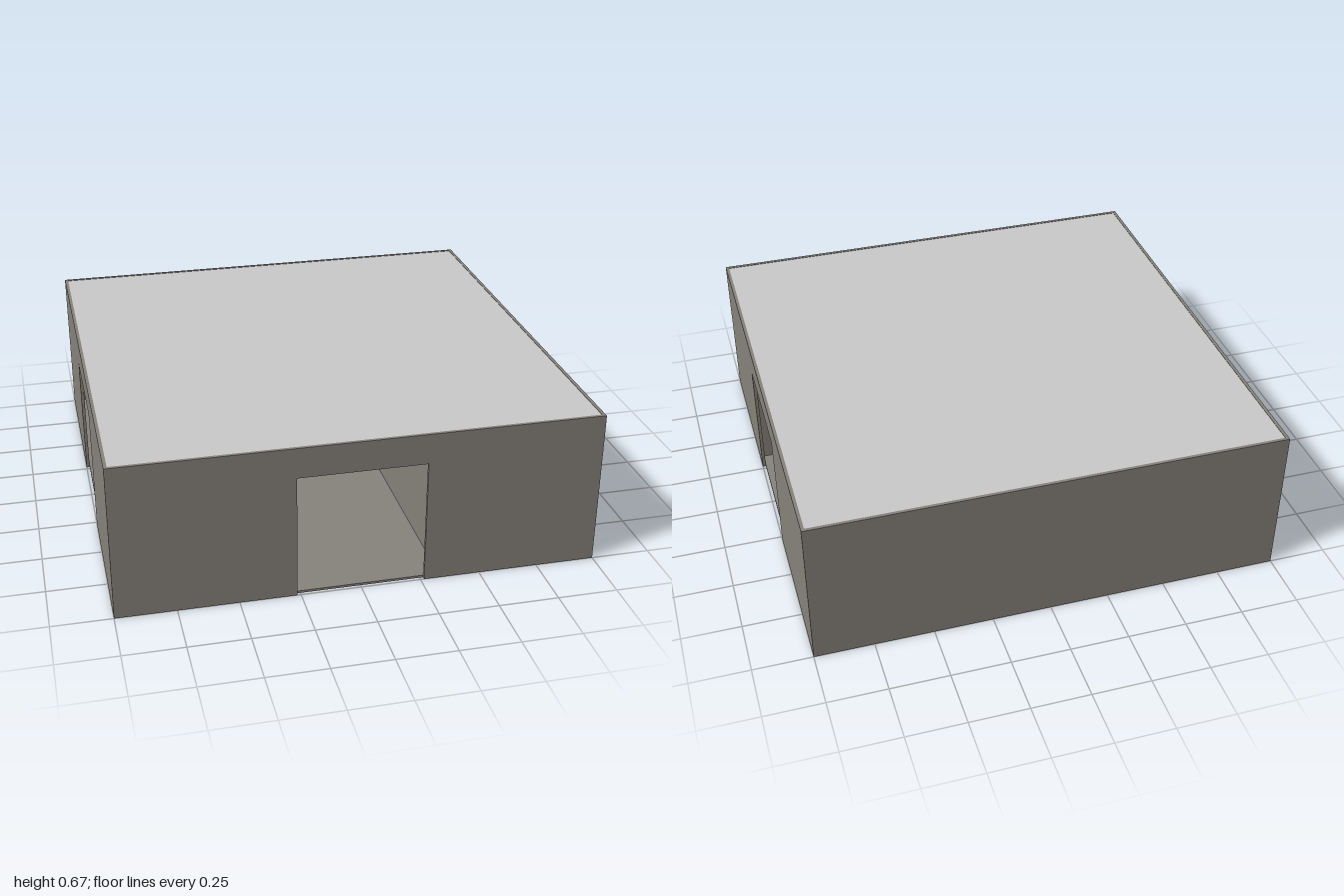
import * as THREE from 'three';

const H = 0.665, T = 0.014;        // wall height and thickness
const DOOR_W = 0.53, DOOR_H = 0.535;
const PART = 0.33;                 // distance of inner partitions from the centre

export function createModel() {
  const group = new THREE.Group();
  const stone = new THREE.MeshStandardMaterial({ color: 0x87837c });
  stone.name = 'warm grey walls';
  const roofGrey = new THREE.MeshStandardMaterial({ color: 0xcacaca });
  roofGrey.name = 'light grey roof';

  function box(name, mat, w, h, d, x, y, z) {
    const mesh = new THREE.Mesh(new THREE.BoxGeometry(w, h, d), mat);
    mesh.name = name;
    mesh.position.set(x, y, z);
    group.add(mesh);
  }

  // Wall with a doorway notched into its bottom edge, turned to face outwards
  function doorWall(name, width, angle) {
    const w = width / 2, d = DOOR_W / 2;
    const shape = new THREE.Shape([
      [-w, 0], [-d, 0], [-d, DOOR_H], [d, DOOR_H], [d, 0], [w, 0], [w, H], [-w, H],
    ].map(([x, y]) => new THREE.Vector2(x, y)));
    const geo = new THREE.ExtrudeGeometry(shape, { depth: T, bevelEnabled: false });
    geo.translate(0, 0, 1 - T).rotateY(angle);
    const mesh = new THREE.Mesh(geo, stone);
    mesh.name = name;
    group.add(mesh);
  }

  // Outer shell: three walls with doorways and a solid back
  doorWall('frontWall', 2, 0);
  doorWall('leftWall', 2 - 2 * T, Math.PI / 2);
  doorWall('rightWall', 2 - 2 * T, -Math.PI / 2);
  box('backWall', stone, 2, H, T, 0, H / 2, -1 + T / 2);

  // Floor and inset roof
  const inner = 2 - 2 * T;
  box('floor', stone, inner, 0.01, inner, 0, 0.005, 0);
  box('roof', roofGrey, inner, T, inner, 0, H - T / 2 - 0.002, 0);

  // Inner partitions beside the front passage and in front of the side doors
  const top = H - T - 0.002, side = 1 - T - PART;
  for (const s of [-1, 1]) {
    const name = s > 0 ? 'left' : 'right';
    box(name + 'PassageWall', stone, T, top, 1 - T + PART,
      s * (PART + T / 2), top / 2, (1 - T - PART) / 2);
    box(name + 'RoomWall', stone, side, top, T,
      s * (PART + side / 2), top / 2, PART + T / 2);
  }
  return group;
}
